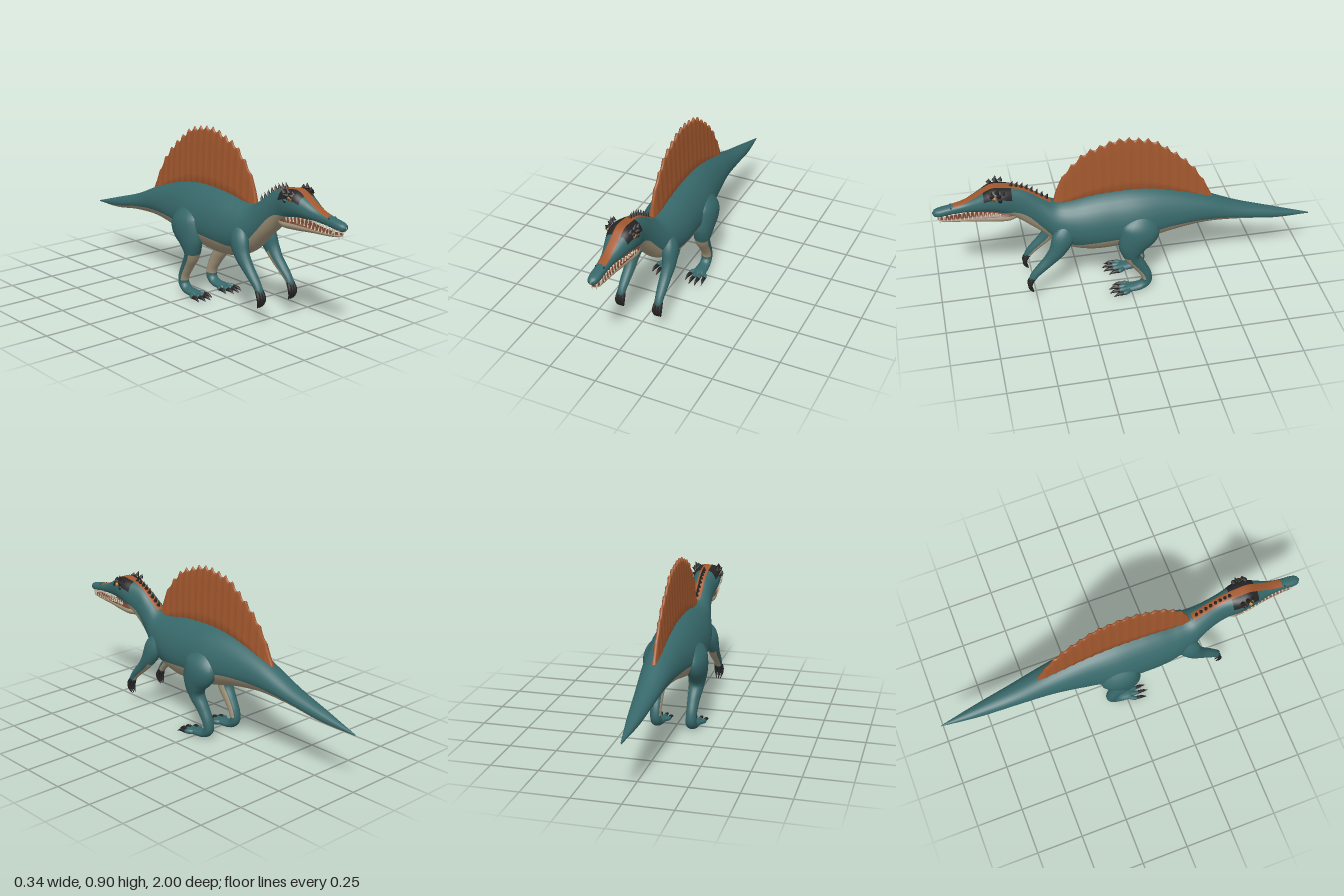
import * as THREE from 'three';

const paint = (name, color) => Object.assign(new THREE.MeshStandardMaterial({ color }), { name });
const mats = [
  paint('tealHide', 0x37686a), paint('tanBelly', 0xa4967c), paint('rustSail', 0xa3582e),
  paint('charcoalHorn', 0x262424), paint('mouthLining', 0x703e2c), paint('ivoryTooth', 0xdcd2b8),
  paint('amberEye', 0xc07a28),
];
const [TEAL, TAN, RUST, DARK, LINING, IVORY, AMBER] = [0, 1, 2, 3, 4, 5, 6];

// Smooth interpolation of table rows; column 0 is the position.
function sample(keys, z) {
  let i = 0;
  while (i < keys.length - 2 && z > keys[i + 1][0]) i++;
  const a = keys[i], b = keys[i + 1], p = keys[Math.max(i - 1, 0)], q = keys[Math.min(i + 2, keys.length - 1)];
  const d = b[0] - a[0], t = (z - a[0]) / d;
  return a.map((v, k) => {
    if (k === 0) return z;
    const m0 = (b[k] - p[k]) / (b[0] - p[0]) * d, m1 = (q[k] - v) / (q[0] - a[0]) * d;
    return (2 * t ** 3 - 3 * t * t + 1) * v + (t ** 3 - 2 * t * t + t) * m0
      + (3 * t * t - 2 * t ** 3) * b[k] + (t ** 3 - t * t) * m1;
  });
}

// Closed loops joined into one smooth surface; matAt(i, j) picks the colour of each quad.
function skin(name, rings, matAt) {
  const n = rings[0].length, buckets = mats.map(() => []);
  for (let i = 0; i < rings.length - 1; i++) for (let j = 0; j < n; j++) {
    const a = i * n + j, b = i * n + (j + 1) % n, c = a + n, d = b + n;
    buckets[matAt(i, j)].push(a, c, b, b, c, d);
  }
  const g = new THREE.BufferGeometry();
  g.setAttribute('position', new THREE.Float32BufferAttribute(rings.flat(2), 3));
  g.setIndex(buckets.flat());
  let start = 0;
  buckets.forEach((b, k) => { if (b.length) g.addGroup(start, b.length, k); start += b.length; });
  g.computeVertexNormals();
  const mesh = new THREE.Mesh(g, mats);
  mesh.name = name;
  return mesh;
}

// Cross-sections along z. Row: z, top, widest height, bottom, half width, squareness, belly line.
const HALF = 18;
function hull(name, keys, steps, colour) {
  const z0 = keys[0][0], z1 = keys[keys.length - 1][0], rings = [], zs = [];
  for (let i = 0; i <= steps; i++) {
    const [z, top, mid, bot, wRaw, p, belly] = sample(keys, z0 + (z1 - z0) * i / steps);
    const w = Math.max(wRaw, 0.001);
    const stripe = Math.asin(Math.min(0.022 / w, 0.75) ** (1 / p)), brow = Math.max(1.2, stripe + 0.1);
    const line = Math.acos(THREE.MathUtils.clamp((belly - mid) / (mid - bot), -0.97, -0.05));
    const stops = [0, stripe, brow, line, Math.PI], counts = [2, 5, 5, 6], angles = [];
    counts.forEach((c, k) => {
      for (let s = 0; s < c; s++) angles.push(stops[k] + (stops[k + 1] - stops[k]) * s / c);
    });
    angles.push(Math.PI);
    const at = (th, s) => {
      const c = Math.cos(th);
      return [s * w * Math.max(Math.sin(th), 0) ** p, mid + c * (c > 0 ? top - mid : mid - bot), z];
    };
    const ring = angles.map(th => at(th, 1));
    for (let j = HALF - 1; j > 0; j--) ring.push(at(angles[j], -1));
    rings.push(ring);
    zs.push(z);
  }
  return skin(name, rings, (i, j) => {
    const c = j < HALF ? j : 2 * HALF - 1 - j;
    return colour(zs[i], c < 2 ? 0 : c < 7 ? 1 : c < 12 ? 2 : 3);
  });
}

// Tapered limb along a curve; radii are [sideways, front to back].
function limb(name, pts, radii, s, colour, steps = 36, n = 16) {
  const path = new THREE.CatmullRomCurve3(pts.map(([x, y, z]) => new THREE.Vector3(x * s, y, z)));
  const size = new THREE.CatmullRomCurve3(radii.map(([a, b], i) => new THREE.Vector3(a, b, i * 0.03)));
  const rings = [];
  for (let i = 0; i <= steps; i++) {
    const c = path.getPoint(i / steps), t = path.getTangent(i / steps), r = size.getPoint(i / steps);
    const u = new THREE.Vector3(1, 0, 0).addScaledVector(t, -t.x).normalize();
    const v = u.clone().cross(t);
    rings.push(Array.from({ length: n }, (_, j) => {
      const a = j / n * Math.PI * 2;
      return c.clone().addScaledVector(u, Math.cos(a) * Math.max(r.x, 0.0005))
        .addScaledVector(v, Math.sin(a) * Math.max(r.y, 0.0005)).toArray();
    }));
  }
  return skin(name, rings, (i, j) => {
    const a = (j + 0.5) / n * Math.PI * 2;
    return colour(i / steps, Math.cos(a) * s, Math.sin(a)); // outward, backward
  });
}

function spike(name, pos, r, h, mat, rx = 0, rz = 0) {
  const m = new THREE.Mesh(new THREE.ConeGeometry(r, h, 8).translate(0, h / 2, 0), mats[mat]);
  m.name = name;
  m.position.set(...pos);
  m.rotation.set(rx, 0, rz);
  return m;
}

const BODY = [
  [-1, .300, .297, .294, .002, 1, .295], [-.8, .362, .33, .302, .034, 1, .318],
  [-.6, .425, .375, .332, .057, 1, .36], [-.4, .51, .42, .34, .08, 1.05, .387],
  [-.2, .573, .42, .315, .108, 1.1, .392], [-.05, .597, .41, .277, .13, 1.15, .37],
  [.1, .597, .41, .258, .13, 1.15, .362], [.2, .588, .41, .26, .128, 1.15, .355],
  [.3, .572, .42, .285, .115, 1.1, .345], [.38, .572, .44, .328, .095, 1.05, .38],
  [.45, .615, .5, .395, .073, 1, .455], [.52, .665, .56, .455, .062, .9, .53],
  [.58, .69, .6, .508, .064, .8, .565], [.64, .7, .63, .55, .075, .65, .57],
  [.7, .703, .635, .572, .072, .6, .574], [.76, .672, .62, .575, .056, .65, .576],
  [.83, .635, .605, .573, .036, .7, .574], [.9, .617, .592, .568, .029, .75, .57],
  [.96, .606, .583, .56, .028, .8, .562], [.99, .597, .58, .563, .019, .9, .564],
  [1, .583, .58, .577, .002, 1, .578],
];
const JAW = [
  [.57, .555, .53, .508, .035, .8, .52], [.62, .56, .53, .502, .057, .8, .52],
  [.7, .562, .532, .506, .052, .8, .52], [.8, .55, .532, .515, .034, .8, .523],
  [.9, .545, .534, .522, .024, .8, .528], [.955, .548, .54, .531, .021, .8, .535],
  [.975, .543, .541, .539, .002, 1, .54],
];
const SAIL = [
  [-.455, .485], [-.41, .575], [-.35, .665], [-.285, .735], [-.2, .805], [-.14, .848], [-.07, .868],
  [.01, .88], [.08, .874], [.14, .852], [.22, .82], [.29, .755], [.34, .695], [.37, .63], [.388, .56],
];

// Back sail with a spine under each point of its edge
function sail() {
  const rings = [], steps = 170, ribs = 17;
  for (let i = 0; i <= steps; i++) {
    const t = i / steps, z = -.455 + .843 * t;
    const ridge = 1 - Math.abs(Math.sin(Math.PI * ribs * t));
    const base = sample(BODY, z)[1] - .035;
    const edge = sample(SAIL, z)[1] + .022 * ridge * Math.min(1, 8 * t, 8 * (1 - t));
    const side = [1, .97, .75, .5, .25, 0].map(f =>
      [(f === 1 ? .003 : .021 - .013 * f) * (.85 + .15 * ridge), base + (edge - base) * f, z]);
    rings.push([...side, ...side.slice().reverse().map(([x, y, w]) => [-x, y, w])]);
  }
  return skin('sail', rings, () => RUST);
}

export function createModel() {
  const model = new THREE.Group();
  model.name = 'sailBackedDinosaur';

  // Body from tail tip to snout, with belly, crown stripe and eye mask
  model.add(hull('body', BODY, 170, (z, band) => {
    if (band === 3) return TAN;
    if (band === 0 && z > .39 && z < .89) return RUST;
    if (band === 1 && z > .6 && z < .735) return DARK;
    return TEAL;
  }));
  model.add(hull('lowerJaw', JAW, 40, (z, band) => band < 2 ? LINING : TAN));
  model.add(sail());

  // Neck spines
  for (let i = 0; i < 8; i++) {
    const z = .425 + i * .025;
    model.add(spike('neckSpine', [0, sample(BODY, z)[1] - .008, z], .012, .036, DARK, -.35));
  }

  for (const s of [1, -1]) {
    // Hind leg
    model.add(limb('hindLeg', [
      [.09, .48, -.07], [.113, .4, -.045], [.112, .31, -.005], [.103, .235, -.003], [.098, .165, -.045],
      [.096, .1, -.08], [.095, .055, -.084], [.095, .027, -.055], [.095, .019, .02], [.095, .015, .05],
    ], [
      [.02, .05], [.053, .105], [.05, .08], [.042, .043], [.033, .035],
      [.03, .029], [.029, .027], [.03, .022], [.034, .016], [.01, .006],
    ], s, (t, out, back) => t > .3 && t < .6 && (back < -.45 || (out < -.5 && back < .5)) ? TAN : TEAL, 54, 20));

    // Toes and toe claws
    [-.04, -.013, .015, .042].forEach((dx, i) => {
      const x = .095 + dx, z = [.045, .07, .072, .055][i];
      model.add(limb('toe', [[.095 + dx * .4, .018, 0], [x, .018, z - .015], [x, .013, z + .006]],
        [[.012, .013], [.012, .013], [.004, .004]], s, () => TEAL, 8, 8));
      model.add(limb('toeClaw', [[x, .016, z - .012], [x + dx * .1, .017, z + .02], [x + dx * .2, .006, z + .048]],
        [[.01, .011], [.008, .009], [.001, .001]], s, () => DARK, 8, 8));
    });

    // Foreleg
    model.add(limb('arm', [
      [.07, .46, .32], [.09, .395, .355], [.1, .325, .39], [.1, .272, .432], [.102, .225, .48],
      [.103, .19, .512], [.104, .165, .526], [.104, .148, .53],
    ], [
      [.025, .04], [.04, .058], [.034, .044], [.029, .032], [.026, .025], [.022, .021], [.02, .017], [.004, .004],
    ], s, (t, out, back) => t > .3 && t < .8 && (back > .6 || (back > -.1 && out < -.5)) ? TAN : TEAL));
    for (const dx of [-.014, 0, .014]) {
      model.add(limb('fingerClaw', [
        [.104 + dx, .175, .522], [.104 + dx * 1.2, .14, .54], [.104 + dx * 1.1, .112, .538], [.104 + dx * .8, .085, .522],
      ], [[.009, .011], [.01, .012], [.007, .009], [.001, .001]], s, () => DARK, 10, 8));
    }

    // Eye with pupil
    const eye = new THREE.Mesh(new THREE.SphereGeometry(.012, 14, 10), mats[AMBER]);
    eye.name = 'eye';
    eye.position.set(s * .069, .668, .69);
    const pupil = new THREE.Mesh(new THREE.SphereGeometry(.006, 10, 8), mats[DARK]);
    pupil.name = 'pupil';
    pupil.position.set(s * .077, .668, .693);
    model.add(eye, pupil);

    // Knobbly brow around the eye
    for (const [x, y, z, h] of [[.06, .695, .675, .03], [.064, .69, .645, .022], [.056, .69, .705, .02],
      [.068, .68, .665, .022], [.07, .655, .66, .016], [.068, .683, .7, .015]]) {
      model.add(spike('browHorn', [s * x, y, z], .013, h, DARK, -.3, -s * (y > .685 ? .25 : 1.1)));
    }

    // Nostril
    const nostril = new THREE.Mesh(new THREE.SphereGeometry(.005, 8, 6), mats[DARK]);
    nostril.name = 'nostril';
    nostril.position.set(s * .02, .609, .905);
    model.add(nostril);

    // Teeth along both jaws, and front fangs
    for (let i = 0; i < 14; i++) {
      const z = .665 + i * .021, up = sample(BODY, z), low = sample(JAW, z);
      model.add(spike('upperTooth', [s * up[4] * .86, up[3] + .008, z], .005, .024 + .006 * (i % 2), IVORY, Math.PI));
      if (i < 13) model.add(spike('lowerTooth', [s * low[4] * .85, low[1] - .01, z + .01], .004, .022, IVORY));
    }
    model.add(spike('fang', [s * .016, .57, .965], .008, .052, IVORY, Math.PI, s * .1));
    model.add(spike('fang', [s * .023, .568, .945], .006, .038, IVORY, Math.PI));
  }
  return model;
}
